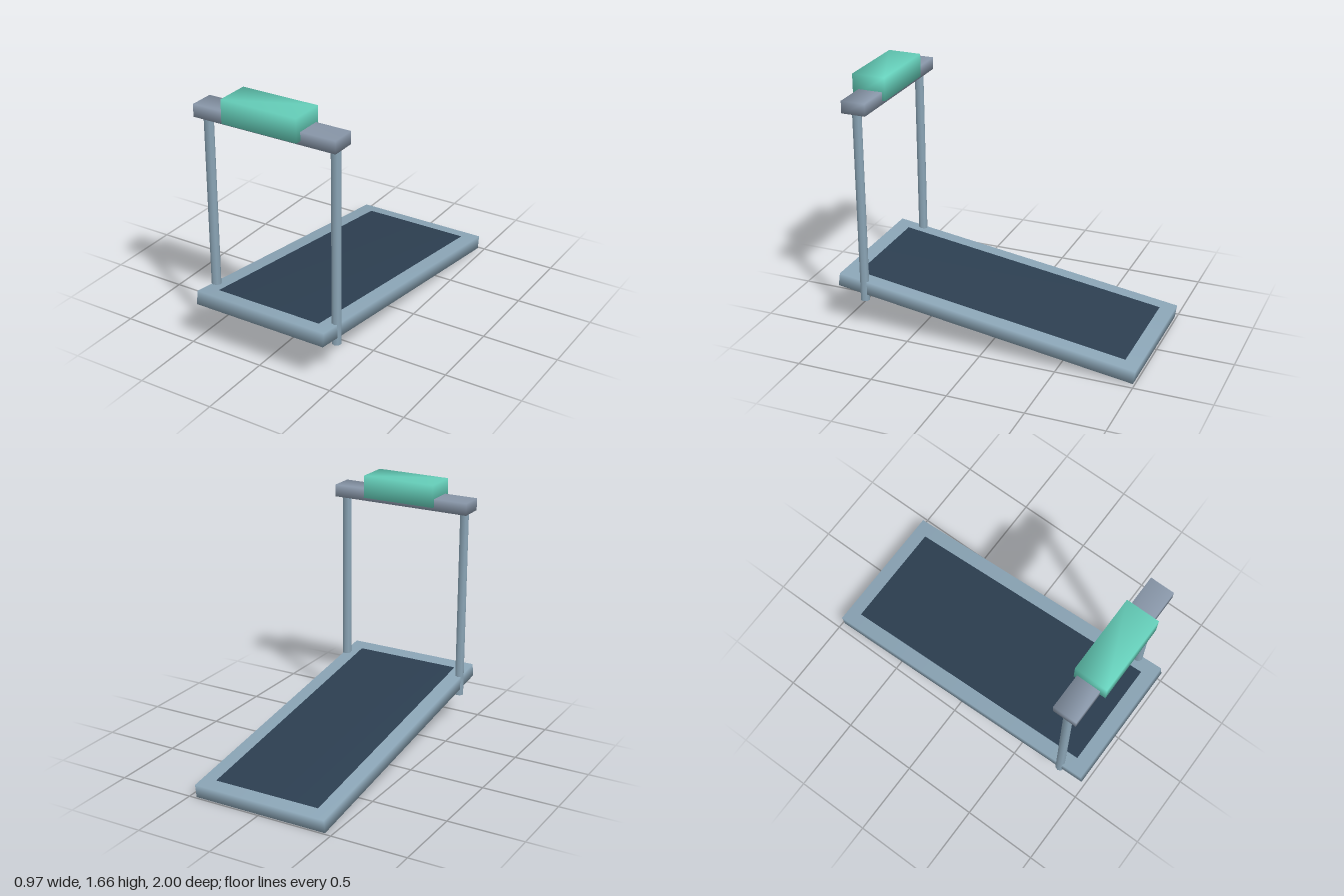
import * as THREE from 'three';
import { mergeVertices } from 'three/addons/utils/BufferGeometryUtils.js';

// Share the corners so the shading runs smoothly over the edges.
function soften(geometry) {
  geometry.deleteAttribute('normal');
  geometry.deleteAttribute('uv');
  const merged = mergeVertices(geometry, 1e-4);
  merged.computeVertexNormals();
  return merged;
}

function addPart(parent, name, geometry, color, x, y, z) {
  const mesh = new THREE.Mesh(soften(geometry), new THREE.MeshStandardMaterial({ color }));
  mesh.name = name;
  mesh.position.set(x, y, z);
  parent.add(mesh);
  return mesh;
}

export function createModel() {
  const model = new THREE.Group();
  model.name = 'treadmill';
  const steel = 0x8aa4b5, barGrey = 0x8896a8, rubber = 0x2c3e50, teal = 0x66d0bb;

  // Sloping deck, high at the front, with the running belt on top
  const deck = new THREE.Group();
  deck.name = 'deck';
  deck.position.set(0, 0.186, 0);
  deck.rotation.x = -0.142;
  model.add(deck);
  addPart(deck, 'deckFrame', new THREE.BoxGeometry(0.91, 0.088, 2.008), steel, 0, 0, 0);
  addPart(deck, 'runningBelt', new THREE.BoxGeometry(0.72, 0.02, 1.82), rubber, 0, 0.037, 0);

  // Two uprights
  for (const [side, name] of [[1, 'leftUpright'], [-1, 'rightUpright']]) {
    addPart(model, name, new THREE.CylinderGeometry(0.03, 0.03, 1.29, 8), steel, side * 0.437, 0.855, 0.82);
  }

  // Crossbar and console
  addPart(model, 'crossbar', new THREE.BoxGeometry(0.97, 0.08, 0.16), barGrey, 0, 1.525, 0.82);
  addPart(model, 'console', new THREE.BoxGeometry(0.51, 0.15, 0.22), teal, 0, 1.585, 0.83);

  return model;
}
